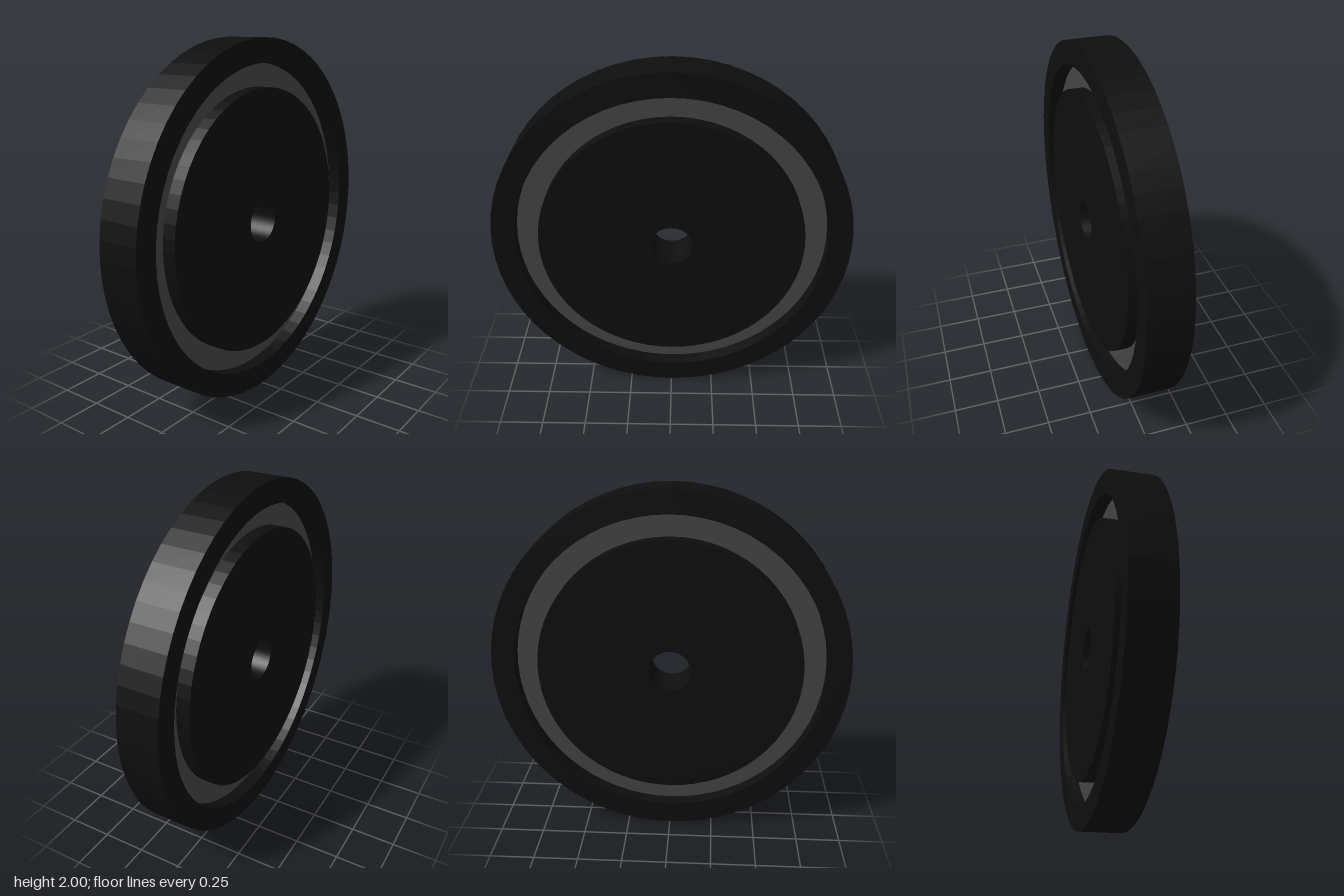
import * as THREE from 'three';

const SIDES = 32;

// Flat faceted ring lying in the XY plane, centred on z = 0
function ring(name, outer, inner, depth, material) {
  const shape = new THREE.Shape();
  shape.absarc(0, 0, outer, 0, Math.PI * 2, false);
  const hole = new THREE.Path();
  hole.absarc(0, 0, inner, 0, Math.PI * 2, true);
  shape.holes.push(hole);
  const geometry = new THREE.ExtrudeGeometry(shape, { depth, bevelEnabled: false, curveSegments: SIDES });
  geometry.translate(0, 0, -depth / 2);
  const mesh = new THREE.Mesh(geometry, material);
  mesh.name = name;
  mesh.position.y = 1;
  return mesh;
}

export function createModel() {
  const black = new THREE.MeshStandardMaterial({ color: 0x0e0e0e });
  black.name = 'black';
  const grey = new THREE.MeshStandardMaterial({ color: 0x444444 });
  grey.name = 'grey';

  const group = new THREE.Group();
  group.name = 'wheel';
  group.add(
    ring('outerRim', 1, 0.87, 0.236, black),
    // Recessed groove floor, seen on both faces
    ring('grooveWeb', 0.87, 0.74, 0.084, grey),
    // Hub disc with the axle hole
    ring('hubDisc', 0.74, 0.118, 0.236, black),
  );
  return group;
}
